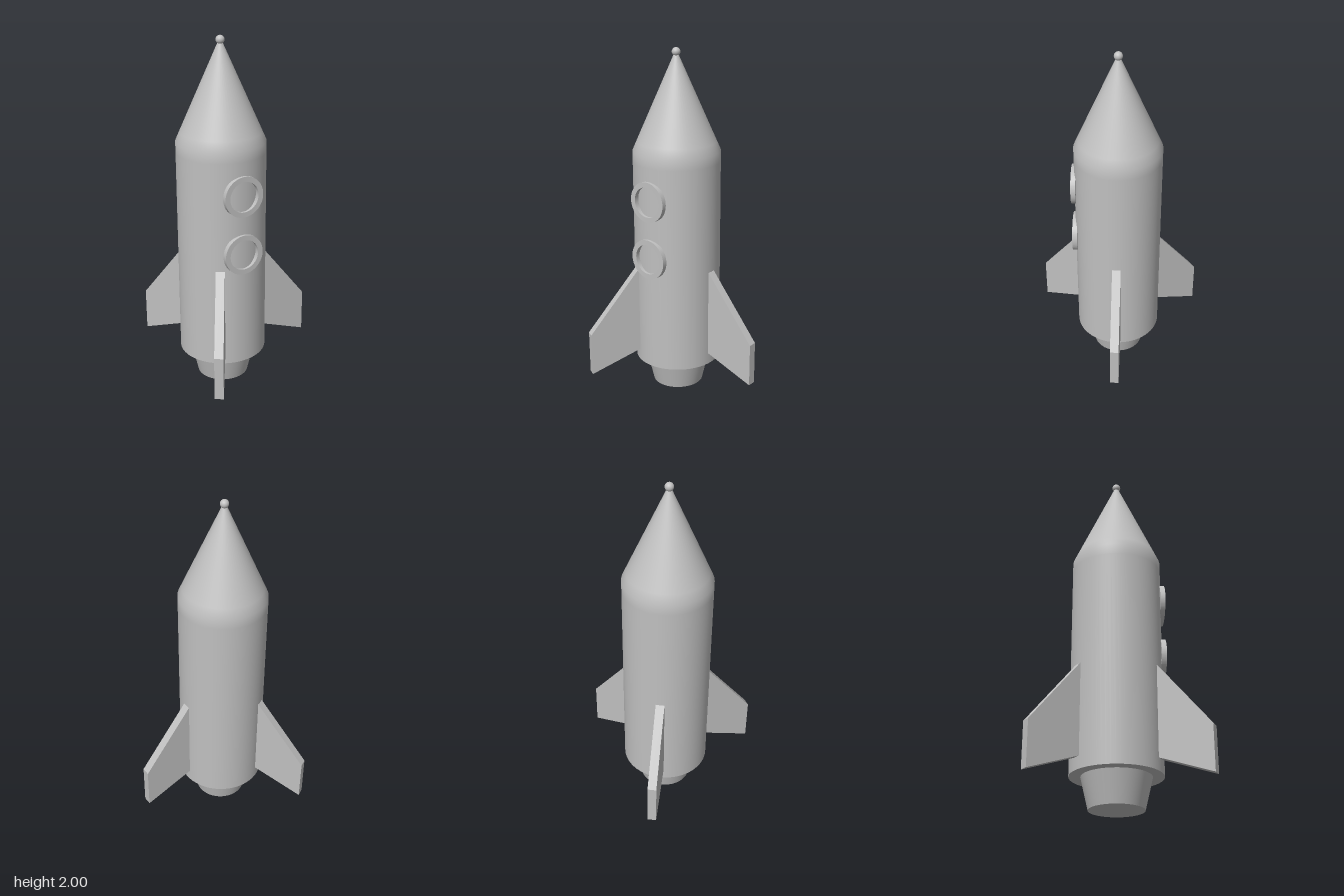
import * as THREE from 'three';

export function createModel() {
  const model = new THREE.Group();
  const rocket = new THREE.Group();
  rocket.name = 'rocket';
  rocket.position.x = -0.128; // the three fins make the outline lopsided
  model.add(rocket);

  const grey = new THREE.MeshStandardMaterial({ color: 0xc0c0c0 });
  grey.name = 'plain grey';

  const add = (name, geometry, parent = rocket) => {
    const mesh = new THREE.Mesh(geometry, grey);
    mesh.name = name;
    parent.add(mesh);
    return mesh;
  };
  const lathe = (points) =>
    new THREE.LatheGeometry(points.map(([r, y]) => new THREE.Vector2(r, y)), 64);

  // Hull and nose cone in one skin, softly shaded at the shoulder
  add('hullAndNose', lathe([
    [0.25, 0.172], [0.25, 1.37], [0.25, 1.43], [0.227, 1.482], [0.012, 1.965],
  ]));
  const base = add('hullBase', new THREE.CircleGeometry(0.25, 64));
  base.rotation.x = Math.PI / 2;
  base.position.y = 0.172;

  // Ball on the tip
  add('noseBall', new THREE.SphereGeometry(0.024, 24, 16)).position.y = 1.976;

  // Engine nozzle, closed at the bottom
  add('nozzle', new THREE.CylinderGeometry(0.19, 0.148, 0.18, 64)).position.y = 0.09;

  // Porthole rims on the front
  const rim = new THREE.Shape().absarc(0, 0, 0.115, 0, Math.PI * 2);
  rim.holes.push(new THREE.Path().absarc(0, 0, 0.086, 0, Math.PI * 2, true));
  const rimGeometry = new THREE.ExtrudeGeometry(rim, {
    depth: 0.028, bevelEnabled: false, curveSegments: 48,
  });
  for (const [name, y] of [['upperPorthole', 1.18], ['lowerPorthole', 0.844]]) {
    add(name, rimGeometry).position.set(0, y, 0.237);
  }

  // Three swept fins, rooted just inside the hull
  const outline = [[0.23, 0.75], [0.25, 0.75], [0.546, 0.38], [0.546, 0.13], [0.25, 0.24], [0.23, 0.247]];
  const finShape = new THREE.Shape(outline.map(([x, y]) => new THREE.Vector2(x, y)));
  const finGeometry = new THREE.ExtrudeGeometry(finShape, { depth: 0.05, bevelEnabled: false });
  finGeometry.translate(0, 0, -0.025);
  ['leftFin', 'rightBackFin', 'rightFrontFin'].forEach((name, i) => {
    add(name, finGeometry).rotation.y = (i * Math.PI * 2) / 3;
  });

  return model;
}
